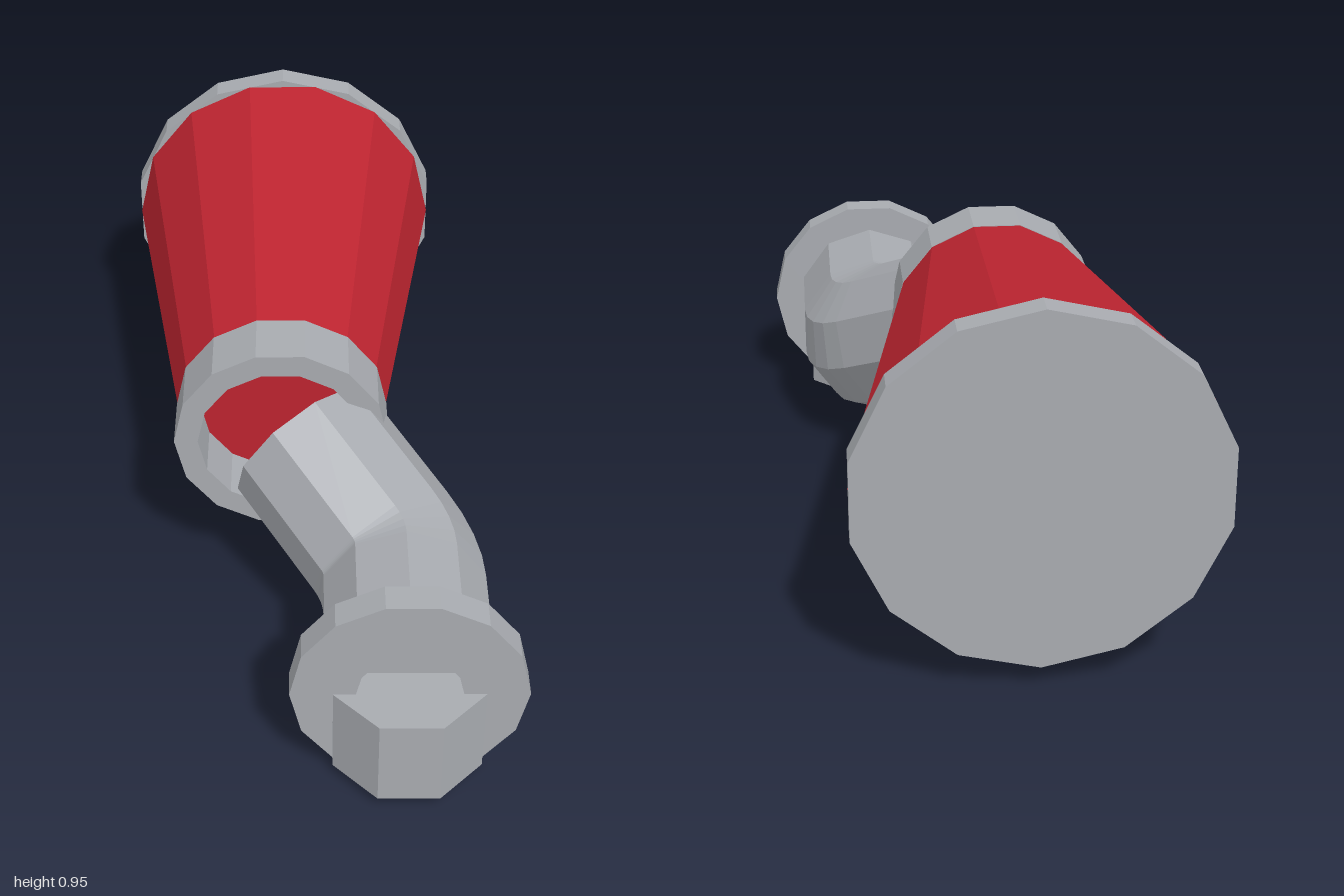
import * as THREE from 'three';

const grey = new THREE.MeshStandardMaterial({ color: 0xa8abb0, flatShading: true });
grey.name = 'grey metal';
const red = new THREE.MeshStandardMaterial({ color: 0xbd2430, flatShading: true });
red.name = 'red paint';

const SIDES = 14;
const BODY = new THREE.Vector2(-0.087, 0.505); // axis of the cone
const PIPE = new THREE.Vector2(0.225, 0.2875); // axis of the straight pipe

function add(group, name, geometry, material) {
  const mesh = new THREE.Mesh(geometry, material);
  mesh.name = name;
  group.add(mesh);
}

// Solid frustum lying along z
function frustum(c, rFront, rBack, z0, z1, thetaStart) {
  const g = new THREE.CylinderGeometry(rFront, rBack, z1 - z0, SIDES, 1, false, thetaStart);
  return g.rotateX(Math.PI / 2).translate(c.x, c.y, (z0 + z1) / 2);
}

// Flat polygonal ring lying along z
function ring(c, rOuter, rInner, z0, z1) {
  const loop = (r) => Array.from({ length: SIDES }, (_, i) => {
    const a = (i / SIDES) * Math.PI * 2;
    return new THREE.Vector2(Math.cos(a) * r, Math.sin(a) * r);
  });
  const shape = new THREE.Shape(loop(rOuter));
  shape.holes.push(new THREE.Path(loop(rInner).reverse()));
  return new THREE.ExtrudeGeometry(shape, { depth: z1 - z0, bevelEnabled: false })
    .translate(c.x, c.y, z0);
}

// Ten-sided pipe: straight, a 45 degree elbow, then straight towards the cone
function bentPipe() {
  const n = 10, r = 0.215, bend = Math.PI / 4, bendR = 0.23, steps = 4;
  const zStart = 0.82, zBend = 0.545;
  const u = new THREE.Vector3(BODY.x - PIPE.x, BODY.y - PIPE.y, 0).normalize();
  const axis = new THREE.Vector3(0, 0, -1).cross(u).normalize();
  const pos = [], index = [];
  const addRing = (center, angle) => {
    for (let i = 0; i < n; i++) {
      const a = Math.PI / 2 + (i / n) * Math.PI * 2;
      const p = new THREE.Vector3(Math.cos(a) * r, Math.sin(a) * r, 0)
        .applyAxisAngle(axis, angle).add(center);
      pos.push(p.x, p.y, p.z);
    }
  };
  const center = new THREE.Vector3(PIPE.x, PIPE.y, zStart);
  addRing(center, 0);
  for (let s = 0; s <= steps; s++) {
    const a = (bend * s) / steps;
    center.set(PIPE.x, PIPE.y, zBend - bendR * Math.sin(a))
      .addScaledVector(u, bendR * (1 - Math.cos(a)));
    addRing(center, a);
  }
  const dir = new THREE.Vector3(0, 0, -1).applyAxisAngle(axis, bend);
  center.addScaledVector(dir, 0.343);
  addRing(center, bend);

  const rings = steps + 3;
  for (let k = 0; k < rings - 1; k++) {
    for (let i = 0; i < n; i++) {
      const j = (i + 1) % n;
      const a = k * n + i, b = k * n + j, c = a + n, d = b + n;
      index.push(a, c, b, b, c, d);
    }
  }
  // end caps
  const last = (rings - 1) * n;
  for (let i = 1; i < n - 1; i++) {
    index.push(0, i, i + 1, last, last + i + 1, last + i);
  }
  const g = new THREE.BufferGeometry();
  g.setAttribute('position', new THREE.Float32BufferAttribute(pos, 3));
  g.setIndex(index);
  const flat = g.toNonIndexed();
  flat.computeVertexNormals();
  return flat;
}

export function createModel() {
  const model = new THREE.Group();
  model.name = 'nozzle';

  // Cone with its end plate and open collar
  add(model, 'coneBody', frustum(BODY, 0.278, 0.435, -0.93, 0.037, Math.PI / 2), red);
  add(model, 'endPlate', frustum(BODY, 0.445, 0.445, -1, -0.93, 0), grey);
  add(model, 'collar', ring(BODY, 0.28, 0.218, 0.035, 0.195), grey);

  // Pipe with a recessed flange
  add(model, 'bentPipe', bentPipe(), grey);
  add(model, 'flange', ring(PIPE, 0.29, 0.13, 0.815, 0.89), grey);

  // Upright eight-sided block through the flange
  const block = new THREE.CylinderGeometry(0.2, 0.2, 0.248, 8, 1, false, Math.PI / 8)
    .translate(PIPE.x, 0.164, 0.815);
  add(model, 'outletBlock', block, grey);

  return model;
}
